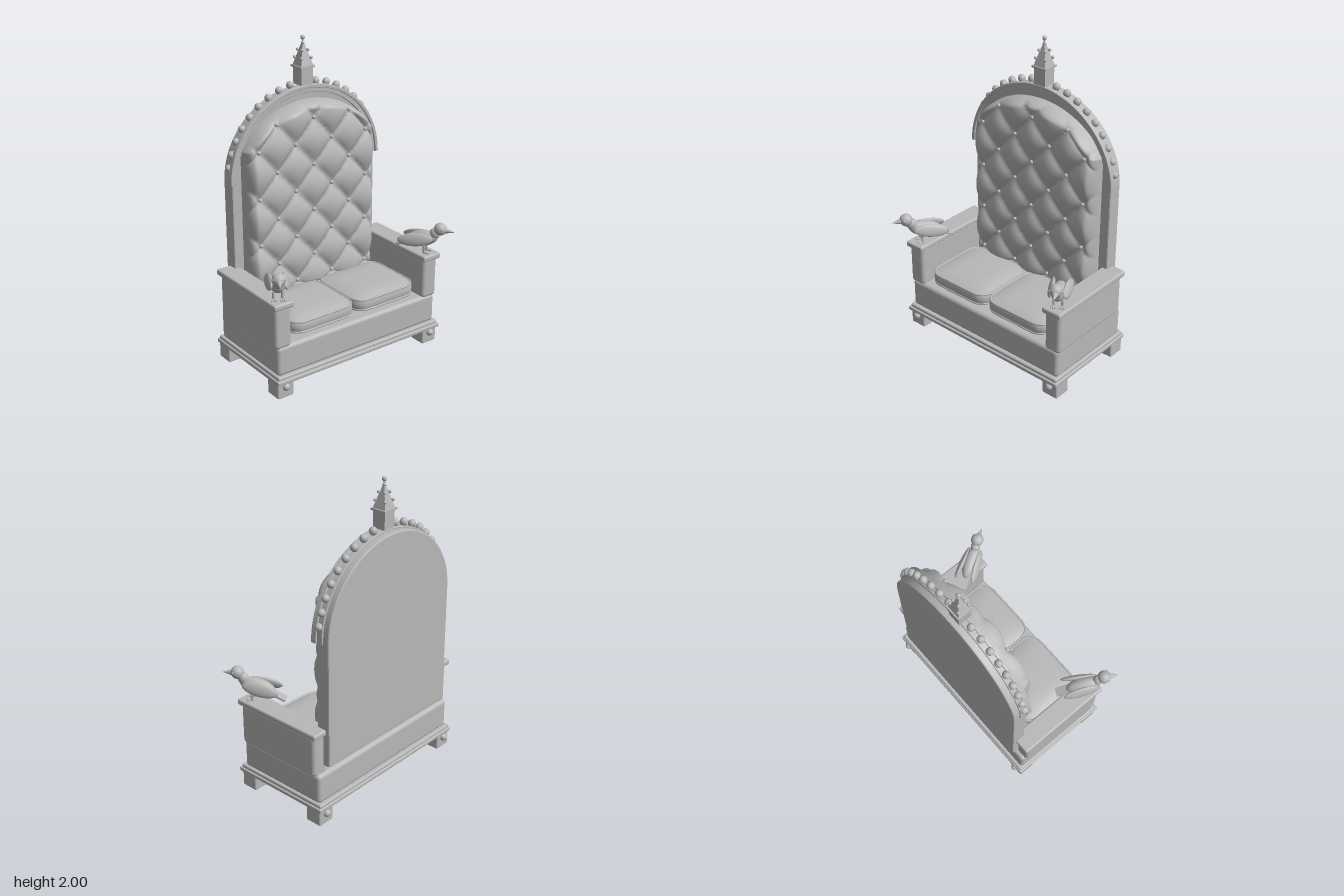
import * as THREE from 'three';
import { RoundedBoxGeometry } from 'three/addons/geometries/RoundedBoxGeometry.js';

const grey = new THREE.MeshStandardMaterial({ color: 0xb8b8b8 });
grey.name = 'plain grey';

const SPRING = 1.17; // height where the arch begins

function add(parent, name, geometry, x = 0, y = 0, z = 0) {
  const mesh = new THREE.Mesh(geometry, grey);
  mesh.name = name;
  mesh.position.set(x, y, z);
  parent.add(mesh);
  return mesh;
}

// Rounded box given by its limits on each axis
function block(parent, name, [x0, x1], [y0, y1], [z0, z1], radius) {
  const geometry = new RoundedBoxGeometry(x1 - x0, y1 - y0, z1 - z0, 4, radius);
  return add(parent, name, geometry, (x0 + x1) / 2, (y0 + y1) / 2, (z0 + z1) / 2);
}

const ball = (r) => new THREE.SphereGeometry(r, 16, 12);

// Extrusion between two z limits, bevel included
function slab(parent, name, shape, z0, z1, bevel) {
  const geometry = new THREE.ExtrudeGeometry(shape, {
    depth: z1 - z0 - 2 * bevel, bevelEnabled: true, bevelSize: bevel, bevelOffset: -bevel,
    bevelThickness: bevel, bevelSegments: 2, curveSegments: 48,
  });
  return add(parent, name, geometry, 0, 0, z0 + bevel);
}

// Half-elliptical band following the top of the back
function archBand(rx, ry, width) {
  const shape = new THREE.Shape();
  shape.moveTo(rx, SPRING);
  shape.absellipse(0, SPRING, rx, ry, 0, Math.PI, false);
  shape.lineTo(-rx + width, SPRING);
  shape.absellipse(0, SPRING, rx - width, ry - width, Math.PI, 0, true);
  shape.closePath();
  return shape;
}

// Deep-buttoned upholstery: diamond puffs that round off towards the border
function tuftedPanel() {
  const geometry = new THREE.PlaneGeometry(2, 1, 90, 120);
  const p = geometry.attributes.position;
  const half = 0.475, bottom = 0.4, rim = 0.045;
  const top = (x) => SPRING + 0.44 * Math.sqrt(1 - (x / 0.53) ** 2);
  for (let i = 0; i < p.count; i++) {
    // sine spacing gathers rows and columns near the border
    const x = half * Math.sin(p.getX(i) * Math.PI / 2);
    const t = (1 + Math.sin(p.getY(i) * Math.PI)) / 2;
    const y = bottom + t * (top(x) - bottom);
    const u = x / 0.27, v = (y - 0.615) / 0.3;
    const puff = Math.sqrt(Math.abs(Math.sin(Math.PI * (u + v)) * Math.sin(Math.PI * (u - v))));
    const edge = Math.min(half - Math.abs(x), top(x) - y, y - bottom) / rim;
    const k = Math.min(1, Math.max(0, edge));
    const round = Math.sqrt(1 - (1 - k) ** 2);
    p.setXYZ(i, x, y, -0.285 + round * (0.085 + 0.043 * puff));
  }
  geometry.computeVertexNormals();
  return geometry;
}

// Pillow with domed top and bottom and rounded corners
function seatCushion(parent, x) {
  const hx = 0.232, hz = 0.222, corner = 0.05;
  const group = new THREE.Group();
  group.name = 'seatCushion';
  group.position.set(x, 0.402, 0.03);
  parent.add(group);
  const geometry = new THREE.BoxGeometry(2, 2, 2, 28, 6, 28);
  const p = geometry.attributes.position;
  for (let i = 0; i < p.count; i++) {
    const a = p.getX(i), b = p.getY(i), c = p.getZ(i);
    const bulge = 1 + 0.025 * (1 - b * b);
    p.setXYZ(i,
      a * (hx - corner * 0.5 * c ** 10) * bulge,
      b * (0.033 + 0.025 * (1 - a ** 4) * (1 - c ** 4)),
      c * (hz - corner * 0.5 * a ** 10) * bulge);
  }
  geometry.computeVertexNormals();
  add(group, 'pillow', geometry);
  // piping along both seams
  const points = [];
  for (let i = 0; i < 64; i++) {
    const t = (i / 64) * Math.PI * 2, c = Math.cos(t), s = Math.sin(t);
    const m = Math.max(Math.abs(c), Math.abs(s)), a = c / m, b = s / m;
    points.push(new THREE.Vector3(a * (hx - corner * 0.5 * b ** 10), 0, b * (hz - corner * 0.5 * a ** 10)));
  }
  const pipe = new THREE.TubeGeometry(new THREE.CatmullRomCurve3(points, true), 128, 0.007, 8, true);
  for (const y of [-0.033, 0.033]) add(group, 'piping', pipe, 0, y, 0);
}

// Perched bird facing +z, its feet on y = 0
function bird() {
  const g = new THREE.Group();
  g.name = 'bird';
  const body = add(g, 'body', new THREE.SphereGeometry(1, 24, 16), 0, 0.088, 0);
  body.scale.set(0.046, 0.052, 0.115);
  body.rotation.x = -0.25;
  const neck = add(g, 'neck', ball(0.034), 0, 0.135, 0.09);
  neck.scale.set(0.9, 1.1, 1);
  add(g, 'head', ball(0.041), 0, 0.17, 0.125);
  const beak = add(g, 'beak', new THREE.ConeGeometry(0.02, 0.065, 12), 0, 0.164, 0.188);
  beak.rotation.x = Math.PI / 2 + 0.06;
  const tail = add(g, 'tail', new THREE.BoxGeometry(0.058, 0.012, 0.12), 0, 0.045, -0.118);
  tail.rotation.x = -0.4;
  for (const s of [-1, 1]) {
    add(g, 'eye', ball(0.007), s * 0.034, 0.178, 0.145);
    const wing = add(g, 'wing', new THREE.SphereGeometry(1, 16, 12), s * 0.05, 0.092, -0.025);
    wing.scale.set(0.017, 0.042, 0.115);
    wing.rotation.set(-0.12, s * -0.08, s * 0.3);
    add(g, 'leg', new THREE.CylinderGeometry(0.008, 0.008, 0.05, 8), s * 0.026, 0.025, 0.03);
    for (const t of [-0.35, 0, 0.35]) {
      const toe = add(g, 'toe', new THREE.CapsuleGeometry(0.006, 0.03, 3, 8),
        s * 0.026 + Math.sin(t) * 0.02, 0.005, 0.045);
      toe.rotation.set(Math.PI / 2, 0, -t);
    }
  }
  return g;
}

// Square pinnacle with beads climbing its corners
function pinnacle() {
  const g = new THREE.Group();
  g.name = 'pinnacle';
  add(g, 'shaft', new THREE.BoxGeometry(0.086, 0.11, 0.086), 0, 1.755, 0);
  add(g, 'eaves', new THREE.BoxGeometry(0.106, 0.012, 0.106), 0, 1.812, 0);
  const roof = new THREE.CylinderGeometry(0.006 * Math.SQRT2, 0.045 * Math.SQRT2, 0.135, 4, 1);
  roof.rotateY(Math.PI / 4);
  add(g, 'roof', roof.toNonIndexed(), 0, 1.885, 0).geometry.computeVertexNormals();
  add(g, 'neck', new THREE.CylinderGeometry(0.005, 0.006, 0.04, 8), 0, 1.965, 0);
  add(g, 'collar', ball(0.011), 0, 1.953, 0);
  add(g, 'tip', ball(0.014), 0, 1.986, 0);
  for (const [d, y] of [[0.036, 1.865], [0.022, 1.912]])
    for (const sx of [-1, 1]) for (const sz of [-1, 1]) add(g, 'cornerBead', ball(0.01), sx * d, y, sz * d);
  g.position.z = -0.3;
  return g;
}

export function createModel() {
  const model = new THREE.Group();
  model.name = 'throne';

  // Plinth and base
  block(model, 'plinth', [-0.63, 0.63], [0.1, 0.127], [-0.38, 0.312], 0.008);
  block(model, 'plinthStep', [-0.62, 0.62], [0.12, 0.148], [-0.372, 0.3], 0.01);
  block(model, 'base', [-0.608, 0.608], [0.14, 0.335], [-0.352, 0.28], 0.025);

  // Back slab with arched top
  const back = new THREE.Shape();
  back.moveTo(-0.54, 0.38);
  back.lineTo(0.54, 0.38);
  back.lineTo(0.54, SPRING);
  back.absellipse(0, SPRING, 0.54, 0.51, 0, Math.PI, false);
  back.closePath();
  slab(model, 'back', back, -0.372, -0.28, 0.008);
  slab(model, 'archTrim', archBand(0.56, 0.53, 0.05), -0.292, -0.268, 0.004);
  slab(model, 'archMoulding', archBand(0.56, 0.53, 0.022), -0.272, -0.256, 0.004);
  slab(model, 'archCrest', archBand(0.55, 0.522, 0.03), -0.33, -0.285, 0.004);

  // Tufted upholstery and its buttons
  add(model, 'tuftedPanel', tuftedPanel());
  for (let row = 0; row < 8; row++) {
    const columns = row % 2 ? [-0.27, 0, 0.27] : [-0.4, -0.135, 0.135, 0.4];
    for (const x of columns) add(model, 'button', ball(0.013), x, 0.465 + row * 0.15, -0.194);
  }

  // Beads along the arch
  for (const s of [-1, 1]) for (let i = 0; i < 9; i++) {
    const t = THREE.MathUtils.degToRad(10.5 + i * 8.7);
    const bead = new THREE.Group();
    bead.name = 'archBead';
    bead.position.set(s * 0.55 * Math.cos(t), SPRING + 0.543 * Math.sin(t), -0.303);
    bead.rotation.z = s * (t - Math.PI / 2);
    add(bead, 'pearl', ball(0.024)).scale.y = 1.1;
    add(bead, 'cup', new THREE.CylinderGeometry(0.021, 0.013, 0.022, 12), 0, -0.018, 0);
    model.add(bead);
  }
  model.add(pinnacle());

  // Mirrored parts: cushions, arms, birds and feet
  for (const s of [-1, 1]) {
    seatCushion(model, s * 0.24);
    const span = (a, b) => (s > 0 ? [a, b] : [-b, -a]);
    block(model, 'arm', span(0.508, 0.622), [0.32, 0.595], [-0.325, 0.28], 0.025);
    block(model, 'armCap', span(0.497, 0.635), [0.583, 0.622], [-0.345, 0.297], 0.012);
    const perched = bird();
    perched.position.set(s * 0.55, 0.622, 0.2);
    perched.rotation.y = s * 0.52;
    model.add(perched);
    for (const [z0, z1, ballZ] of [[0.18, 0.292, 0.295], [-0.368, -0.256, -0.372]]) {
      block(model, 'foot', span(0.508, 0.622), [0, 0.11], [z0, z1], 0.01);
      add(model, 'footKnob', ball(0.024), s * 0.565, 0.073, ballZ);
    }
  }
  return model;
}
